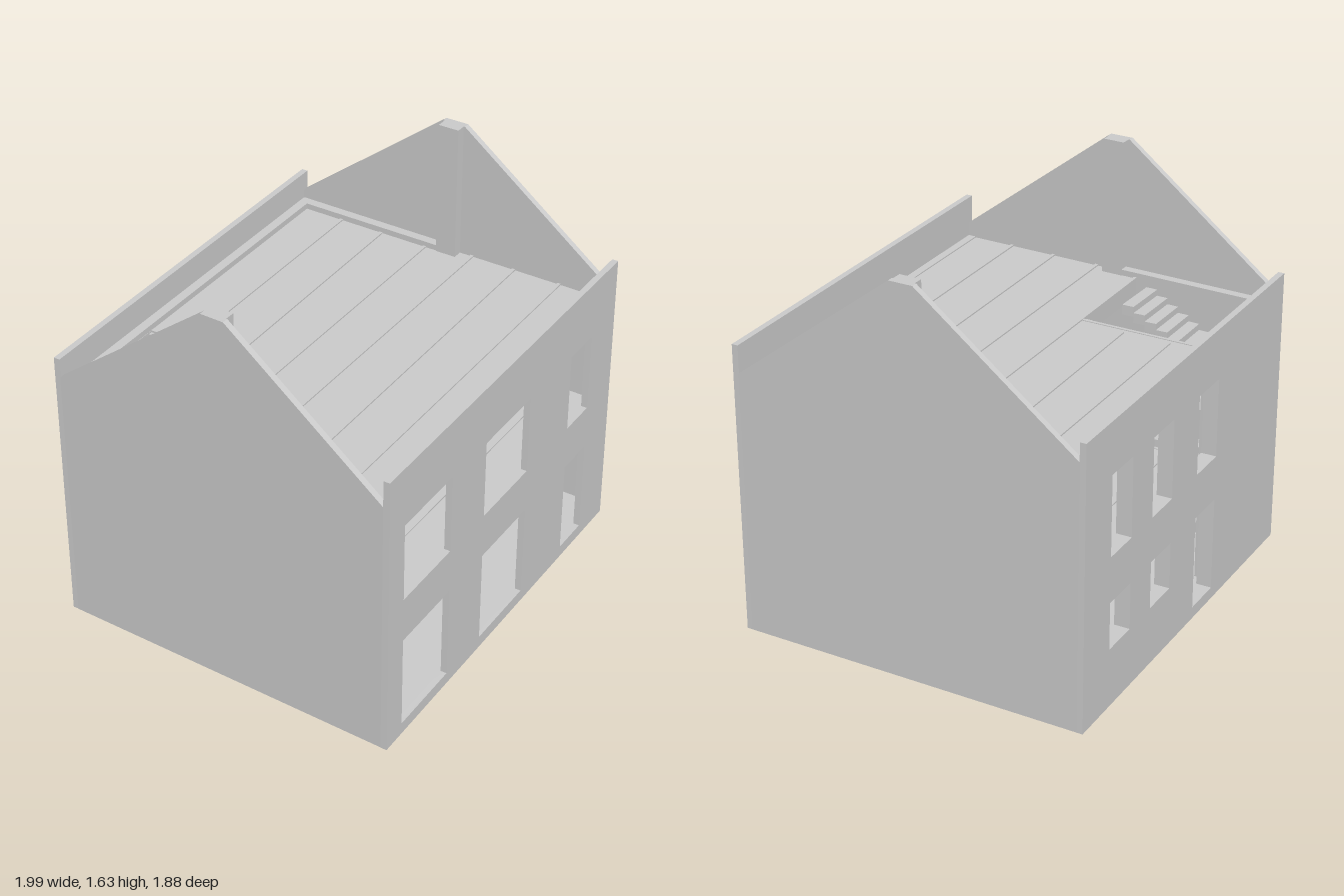
import * as THREE from 'three';

const mat = new THREE.MeshStandardMaterial({ color: 0xcccccc, flatShading: true, side: THREE.DoubleSide });

// Plan corners [x, z]: the house is a slightly skewed quadrilateral
const BR = [-0.997, -0.532], BL = [0.66, -0.944], FL = [0.997, 0.511], FR = [-0.693, 0.933];
const FLOORS = [0.05, 0.565, 1.05];
const T = 0.026; // outer wall thickness
const dist = (p, q) => Math.hypot(q[0] - p[0], q[1] - p[1]);
const lerp = (p, q, t) => [p[0] + (q[0] - p[0]) * t, p[1] + (q[1] - p[1]) * t];
const rect = (x0, x1, y0, y1) => [[x0, y0], [x1, y0], [x1, y1], [x0, y1]];
const toPoints = (pts) => pts.map(([x, y]) => new THREE.Vector2(x, y));

function extrude(outline, holes, depth) {
  const shape = new THREE.Shape(toPoints(outline));
  for (const h of holes) shape.holes.push(new THREE.Path(toPoints(h)));
  return new THREE.ExtrudeGeometry(shape, { depth, bevelEnabled: false });
}

export function createModel() {
  const house = new THREE.Group();
  house.name = 'house';

  const add = (name, geometry) => {
    const mesh = new THREE.Mesh(geometry, mat);
    mesh.name = name;
    house.add(mesh);
    return mesh;
  };

  // Upright panel along p -> q, outline in (distance, height), between offsets z0 and z1
  const wall = (name, p, q, z0, z1, outline, holes = []) => {
    const mesh = add(name, extrude(outline, holes, z1 - z0).translate(0, 0, z0));
    mesh.position.set(p[0], 0, p[1]);
    mesh.rotation.y = Math.atan2(p[1] - q[1], q[0] - p[0]);
  };

  // Horizontal prism over a plan polygon
  const slab = (name, plan, y0, y1, holes = []) => {
    const flip = (pts) => pts.map(([x, z]) => [x, -z]);
    add(name, extrude(flip(plan), holes.map(flip), y1 - y0).rotateX(-Math.PI / 2).translate(0, y0, 0));
  };

  // Straight bar along p -> q
  const bar = (name, p, q, width, y0, y1) =>
    wall(name, p, q, -width / 2, width / 2, rect(0, dist(p, q), y0, y1));

  // Front wall with three bays of tall openings on both storeys
  const frontHoles = [];
  for (const [a, b] of [[0.108, 0.444], [0.698, 1.037], [1.374, 1.544]])
    frontHoles.push(rect(a, b, 0.05, 0.45), rect(a, b, 0.64, 0.975));
  wall('frontWall', FR, FL, -T, 0, rect(0, dist(FR, FL), 0, 1.225), frontHoles);
  wall('frontLedge', FR, FL, -0.06, -T, rect(0.03, 1.035, 0.985, 1.055));

  // Back wall with a door and five windows, and its inner lining
  const backHoles = [];
  for (const [a, b, sill] of [[0.6, 0.775, 0.05], [0.995, 1.165, 0.25], [1.335, 1.502, 0.25]])
    backHoles.push(rect(a, b, sill, 0.45), rect(a, b, 0.64, 0.975));
  const backLen = dist(BR, BL);
  wall('backWall', BR, BL, 0, T, rect(0, backLen, 0, 1.19), backHoles);
  wall('backLining', BR, BL, T, 0.065, rect(0.03, backLen - 0.03, 0.02, 1.075), backHoles);

  // Gable walls, each with a chimney pier and a lined rear half
  for (const [side, p, q, inward] of [['right', BR, FR, -1], ['left', BL, FL, 1]]) {
    const L = dist(p, q), m = L / 2, e = 0.024;
    const layer = (name, a, b, outline) =>
      wall(side + name, p, q, Math.min(a * inward, b * inward), Math.max(a * inward, b * inward), outline);
    layer('GableWall', 0, T, [[e, 0], [L - e, 0], [L - e, 1.11], [m + 0.05, 1.63], [m - 0.05, 1.63], [e, 1.11]]);
    layer('ChimneyPier', 0.004, 0.068, rect(m - 0.045, m + 0.045, 0.02, 1.63));
    layer('GableLining', T, 0.065, rect(0.03, m - 0.045, 0.02, 1.075));
  }

  // Floors, the upper two with a stairwell opening
  const well = [[-0.922, -0.481], [-0.473, -0.594], [-0.345, -0.037], [-0.805, 0.08]];
  const inner = [BR, BL, FL, FR].map(([x, z]) => [x * 0.98, z * 0.98]);
  slab('groundFloor', [BR, BL, FL, FR].map(([x, z]) => [x * 0.998, z * 0.998]), 0, FLOORS[0]);
  const joists = [
    [[-0.404, -0.433], [0.65, -0.695]], [[-0.356, -0.235], [0.692, -0.503]],
    [[-0.805, 0.08], [0.741, -0.299]], [[-0.81, 0.289], [0.832, -0.112]],
    [[-0.762, 0.492], [0.869, 0.08]], [[-0.719, 0.69], [0.917, 0.283]],
  ];
  for (const y of FLOORS.slice(1)) {
    slab('upperFloor', inner, y - 0.035, y, [well]);
    for (const [a, b] of joists) bar('joist', a, b, 0.014, y - 0.075, y + 0.006);
    bar('stairwellTrimmer', well[1], well[2], 0.014, y - 0.075, y + 0.003);
  }

  // Posts at the open corners of the stairwell
  for (const t of [0.03, 0.97])
    bar('stairwellPost', lerp(well[1], well[2], t - 0.025), lerp(well[1], well[2], t + 0.025), 0.05, 0.05, 1.045);

  // Half-turn stairs: up towards the back, across the landing, up towards the front
  const lowerFlight = [[-0.559, -0.043], [-0.361, -0.091], [-0.436, -0.38], [-0.628, -0.332]];
  const upperFlight = [[-0.703, -0.358], [-0.89, -0.31], [-0.816, 0.027], [-0.612, -0.016]];
  const landing = [
    [[-0.679, -0.54], [-0.473, -0.594], [-0.436, -0.38], [-0.636, -0.345]],
    [[-0.73, -0.529], [-0.679, -0.54], [-0.636, -0.358], [-0.69, -0.345]],
    [[-0.922, -0.481], [-0.73, -0.529], [-0.69, -0.35], [-0.89, -0.31]],
  ];
  const COUNT = 7;
  for (const [base, top] of [[FLOORS[0], FLOORS[1]], [FLOORS[1], FLOORS[2]]]) {
    const rise = (top - base) / (2 * COUNT + 4);
    const tread = (name, plan, n, depth) => slab(name, plan, base + rise * n - depth, base + rise * n);
    const flight = ([a, b, c, d], first) => {
      for (let i = 0; i < COUNT; i++) {
        const t0 = i / COUNT, t1 = (i + 1) / COUNT;
        tread('stairStep', [lerp(a, d, t0), lerp(b, c, t0), lerp(b, c, t1), lerp(a, d, t1)], first + i,
          first + i === 1 ? rise : rise * 1.6);
      }
    };
    flight(lowerFlight, 1);
    landing.forEach((plan, i) => tread('stairLanding', plan, COUNT + 1 + i, rise * 1.6));
    flight(upperFlight, COUNT + 4);
  }

  return house;
}
